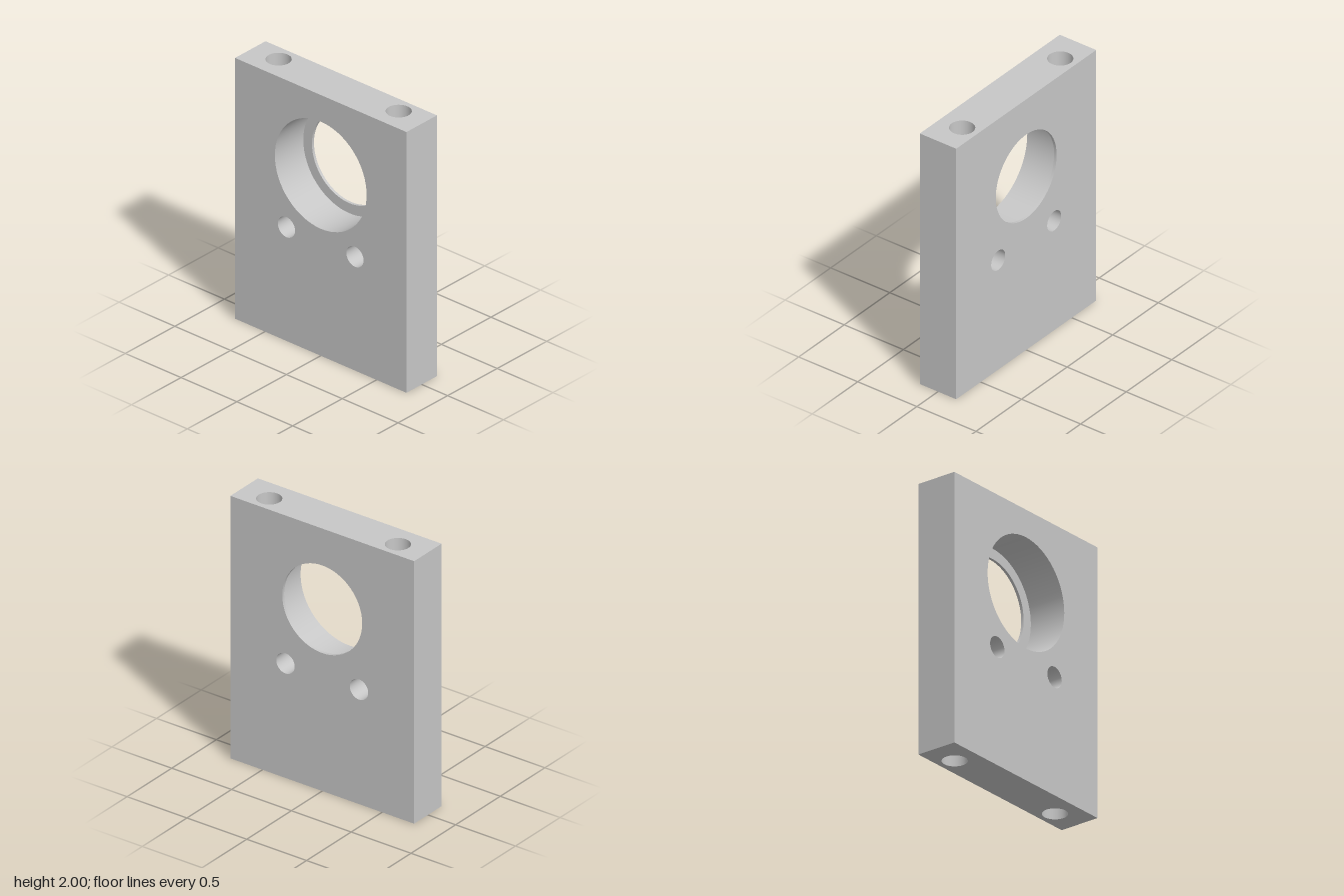
import * as THREE from 'three';

const W = 1.536, H = 2, D = 0.308;      // plate width, height, thickness
const BORE_Y = 1.385, BORE_R = 0.334, RECESS_R = 0.411, LIP = 0.021;
const PIN_X = 0.307, PIN_Y = 0.873, PIN_R = 0.077;
const ROD_X = 0.538, ROD_Z = -0.027, ROD_R = 0.088;

export function createModel() {
  const group = new THREE.Group();
  const grey = new THREE.MeshStandardMaterial({ color: 0xc7c7c7 });
  grey.name = 'machinedGrey';

  function add(name, geometry, x, y, z) {
    const mesh = new THREE.Mesh(geometry, grey);
    mesh.name = name;
    mesh.position.set(x, y, z);
    group.add(mesh);
  }

  // Rectangle centred on the origin with round holes [x, y, radius], facing +z
  function face(w, h, holes = []) {
    const s = new THREE.Shape();
    s.moveTo(-w / 2, -h / 2);
    s.lineTo(w / 2, -h / 2);
    s.lineTo(w / 2, h / 2);
    s.lineTo(-w / 2, h / 2);
    s.closePath();
    for (const [x, y, r] of holes) {
      s.holes.push(new THREE.Path().absarc(x, y, r, 0, Math.PI * 2, true));
    }
    return new THREE.ShapeGeometry(s, 32);
  }

  // Revolved strip between two [radius, height] points; running down faces inward
  const ring = (a, b) =>
    new THREE.LatheGeometry([new THREE.Vector2(...a), new THREE.Vector2(...b)], 64);

  // Outer faces of the plate
  const pins = [-1, 1].map(s => [s * PIN_X, PIN_Y - H / 2, PIN_R]);
  const rods = z => [-1, 1].map(s => [s * ROD_X, z, ROD_R]);
  const cy = H / 2, boreY = BORE_Y - cy;
  add('frontFace', face(W, H, [[0, boreY, RECESS_R], ...pins]), 0, cy, D / 2);
  add('backFace', face(W, H, [[0, boreY, BORE_R], ...pins]).rotateY(Math.PI), 0, cy, -D / 2);
  add('topFace', face(W, D, rods(-ROD_Z)).rotateX(-Math.PI / 2), 0, H, 0);
  add('bottomFace', face(W, D, rods(ROD_Z)).rotateX(Math.PI / 2), 0, 0, 0);
  add('leftSide', face(D, H).rotateY(Math.PI / 2), W / 2, cy, 0);
  add('rightSide', face(D, H).rotateY(-Math.PI / 2), -W / 2, cy, 0);

  // Stepped main bore: deep recess, ledge and thin rear lip
  const ledge = -D / 2 + LIP;
  const bore = [[RECESS_R, D / 2], [RECESS_R, ledge], [BORE_R, ledge], [BORE_R, -D / 2]];
  ['boreRecess', 'boreLedge', 'boreLip'].forEach((name, i) =>
    add(name, ring(bore[i], bore[i + 1]).rotateX(Math.PI / 2), 0, BORE_Y, 0));

  // Small cross holes and full-height rod holes
  for (const [side, s] of [['left', 1], ['right', -1]]) {
    add(side + 'PinHole', ring([PIN_R, D / 2], [PIN_R, -D / 2]).rotateX(Math.PI / 2), s * PIN_X, PIN_Y, 0);
    add(side + 'RodHole', ring([ROD_R, H], [ROD_R, 0]), s * ROD_X, 0, ROD_Z);
  }

  return group;
}
